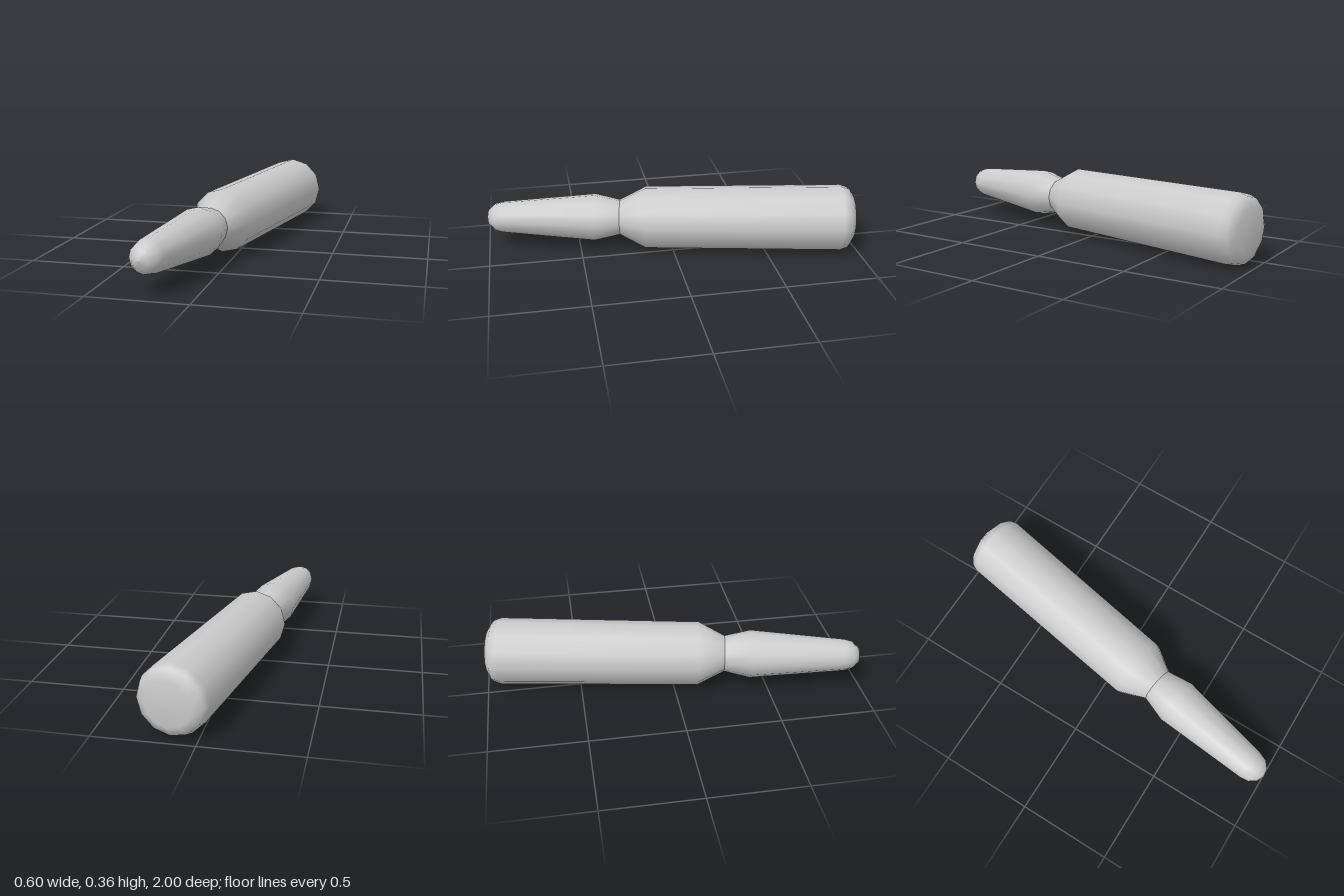
import * as THREE from 'three';

const SIDES = 12;

// Smooth round part turned from [radius, distance along the axis] points, listed back to front
function turnedPart(name, profile) {
  const points = profile.map(([r, s]) => new THREE.Vector2(r, s));
  const geometry = new THREE.LatheGeometry(points, SIDES);
  geometry.rotateX(Math.PI / 2); // axis now runs along +z
  const material = new THREE.MeshStandardMaterial({ color: 0xcccccc });
  const mesh = new THREE.Mesh(geometry, material);
  mesh.name = name;
  return mesh;
}

export function createModel() {
  const model = new THREE.Group();
  model.name = 'taperedRod';

  // Both parts share one axis, turned slightly about the vertical
  const rod = new THREE.Group();
  rod.name = 'rod';
  rod.position.set(-0.049, 0.181, 0);
  rod.rotation.y = -0.186;
  model.add(rod);

  // Thick body: flat back with a rounded rim, slight taper, then the shoulder down to the neck
  rod.add(turnedPart('body', [
    [0, -0.996], [0.117, -0.996], [0.167, -0.967], [0.181, -0.925],
    [0.17, 0.142], [0.097, 0.282],
  ]));

  // Slim nose: flares from the neck, then tapers to a rounded tip
  const tipRadius = 0.085, tipStart = 0.925, tipLength = 0.09;
  const nose = [[0.097, 0.282], [0.129, 0.42]];
  for (let i = 0; i <= 3; i++) {
    const a = (i / 3) * Math.PI / 2;
    nose.push([i === 3 ? 0 : tipRadius * Math.cos(a), tipStart + tipLength * Math.sin(a)]);
  }
  rod.add(turnedPart('nose', nose));

  return model;
}
